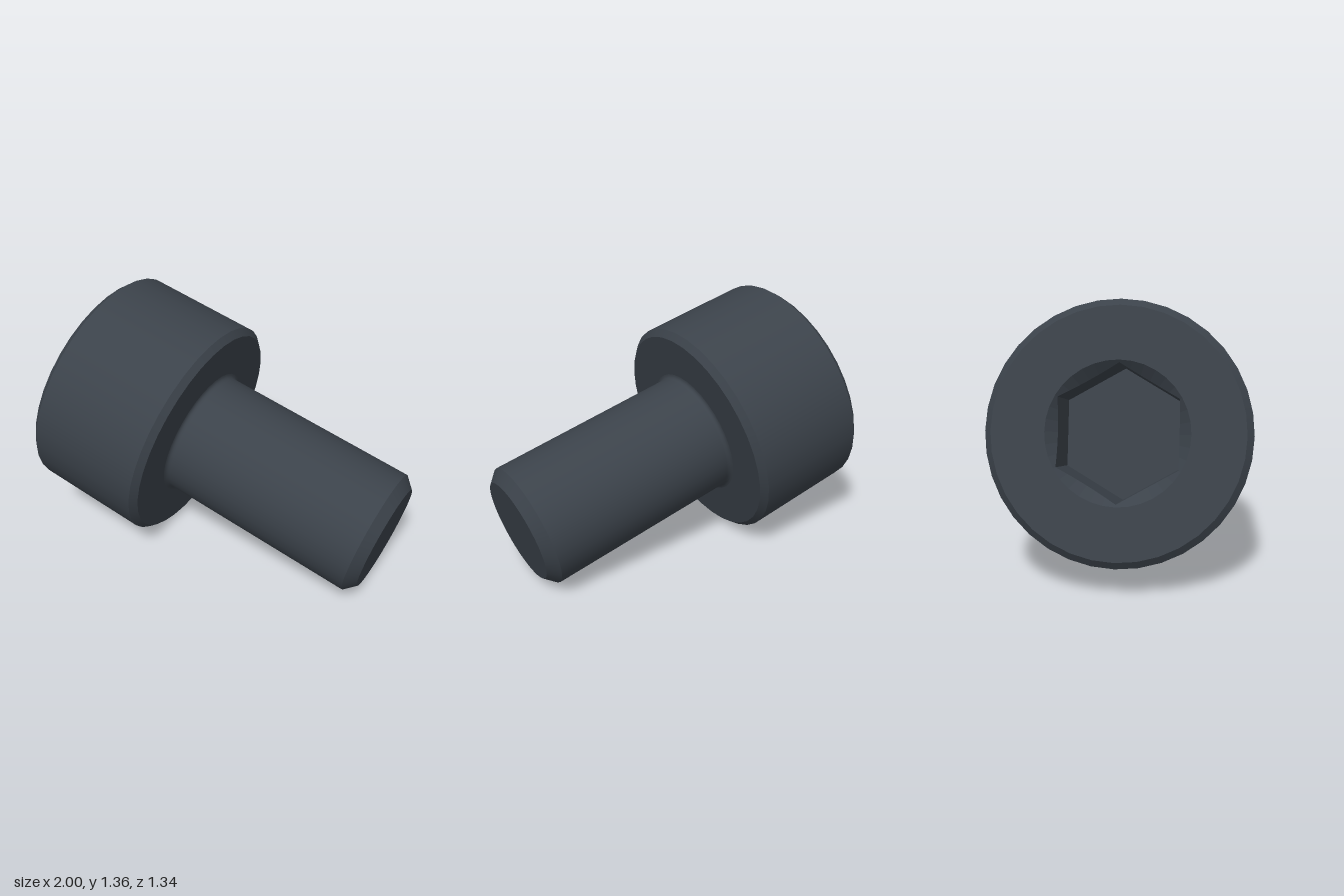
import * as THREE from 'three';

const SEG = 36;
const R = 0.6215, EDGE = 0.033, HEAD = 0.678; // head radius, chamfer, height
const r = 0.339, TIP = 0.056, FILLET = 0.022; // shank radius, tip chamfer, root fillet
const LENGTH = 1.817;
const RIM = 0.337, APOTHEM = 0.282, DEPTH = 0.37; // hexagonal socket

const steel = new THREE.MeshStandardMaterial({ color: 0x3b424a });
steel.name = 'dark steel';

// Surface of revolution; the head top sits at y = 0 and the tip at y = LENGTH
function turned(name, points) {
  const geometry = new THREE.LatheGeometry(points.map(([x, y]) => new THREE.Vector2(x, y)), SEG);
  const mesh = new THREE.Mesh(geometry, steel);
  mesh.name = name;
  return mesh;
}

// Hex recess with a conical lead-in: a turned cup whose wall is pulled onto a hexagon
function hexSocket() {
  const mesh = turned('hexSocket', [[0, DEPTH], [APOTHEM, DEPTH], [APOTHEM, 0.05], [RIM, 0]]);
  const pos = mesh.geometry.attributes.position;
  const sector = Math.PI / 3;
  for (let i = 0; i < pos.count; i++) {
    const ring = i % 4;
    if (ring !== 1 && ring !== 2) continue;
    const angle = Math.atan2(pos.getZ(i), pos.getX(i)) + 2 * Math.PI;
    const radius = APOTHEM / Math.cos((angle % sector) - sector / 2);
    pos.setXYZ(i, radius * Math.cos(angle), ring === 1 ? DEPTH : RIM - radius, radius * Math.sin(angle));
  }
  mesh.geometry = mesh.geometry.toNonIndexed();
  mesh.geometry.computeVertexNormals();
  return mesh;
}

export function createModel() {
  const screw = new THREE.Group();
  screw.name = 'socketScrew';

  // Head
  const head = new THREE.Group();
  head.name = 'head';
  head.add(
    turned('headTop', [[RIM, 0], [R - EDGE, 0]]),
    turned('headTopChamfer', [[R - EDGE, 0], [R, EDGE]]),
    turned('headSide', [[R, EDGE], [R, HEAD - EDGE]]),
    turned('headLowerChamfer', [[R, HEAD - EDGE], [R - EDGE, HEAD]]),
    turned('headUnderside', [[R - EDGE, HEAD], [r + FILLET, HEAD]]),
    hexSocket()
  );

  // Shank, with a small fillet at its root
  const root = [];
  for (let i = 0; i <= 4; i++) {
    const a = (i / 4) * Math.PI / 2;
    root.push([r + FILLET * (1 - Math.sin(a)), HEAD + FILLET * (1 - Math.cos(a))]);
  }
  const shank = new THREE.Group();
  shank.name = 'shank';
  shank.add(
    turned('shankFillet', root),
    turned('shankSide', [[r, HEAD + FILLET], [r, LENGTH - TIP]]),
    turned('tipChamfer', [[r, LENGTH - TIP], [r - TIP, LENGTH]]),
    turned('tipFace', [[r - TIP, LENGTH], [0, LENGTH]])
  );

  // Lay the screw along x, then tilt it down and toward the front
  const axis = new THREE.Group();
  axis.name = 'screwAxis';
  axis.rotation.z = -Math.PI / 2;
  axis.add(head, shank);
  const tilt = new THREE.Group();
  tilt.name = 'tiltedScrew';
  tilt.rotation.set(0, -0.2077, -0.2475, 'YZX');
  tilt.position.set(-0.815, 0.763, -0.07);
  tilt.add(axis);
  screw.add(tilt);
  return screw;
}
